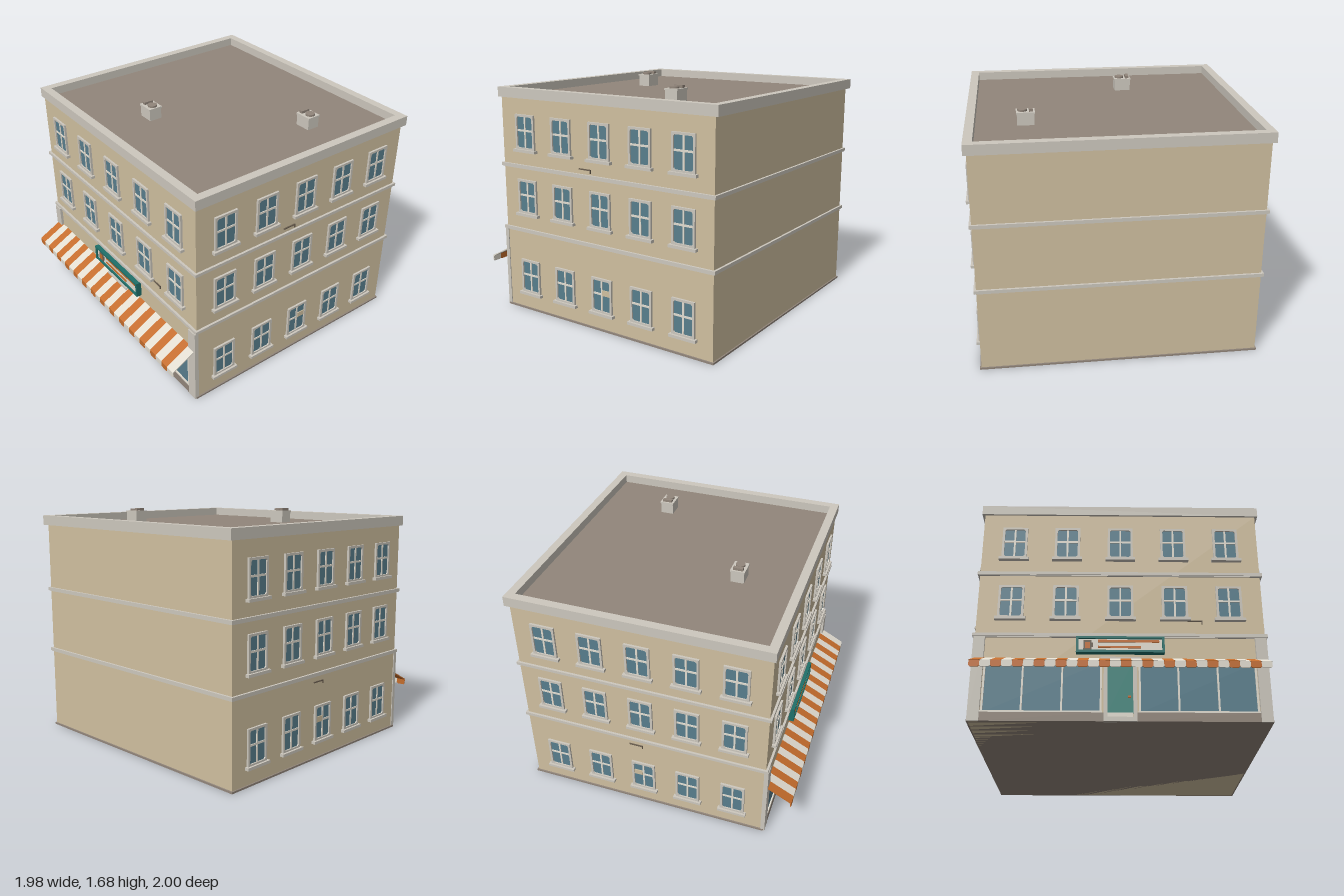
import * as THREE from 'three';

const mat = (name, color) => Object.assign(new THREE.MeshStandardMaterial({ color }), { name });
const M = {
  wall: mat('sandWall', 0xd0c0a0),
  trim: mat('stoneTrim', 0xcdc8be),
  cream: mat('creamPaint', 0xe2ddd1),
  roof: mat('roofBrown', 0x92867b),
  glass: mat('blueGlass', 0x587e8d),
  teal: mat('signTeal', 0x1f706a),
  door: mat('doorTeal', 0x3d857c),
  orange: mat('orangeCloth', 0xc56d2c),
  dark: mat('darkBrown', 0x6b5f50),
};

const FRONT = 0.81, BACK = -0.97, HALF = 0.96, MID = (FRONT + BACK) / 2;

function add(parent, name, geo, material, x = 0, y = 0, z = 0) {
  const m = new THREE.Mesh(geo, material);
  m.name = name;
  m.position.set(x, y, z);
  parent.add(m);
  return m;
}

// box given by its minimum and maximum corners
function box(parent, name, material, [x0, y0, z0], [x1, y1, z1]) {
  return add(parent, name, new THREE.BoxGeometry(x1 - x0, y1 - y0, z1 - z0), material,
    (x0 + x1) / 2, (y0 + y1) / 2, (z0 + z1) / 2);
}

// rectangle with its corners cut by c
function rect(w, h, c = 0, Type = THREE.Shape) {
  const a = w / 2, b = h / 2;
  const p = c
    ? [[-a + c, -b], [a - c, -b], [a, -b + c], [a, b - c], [a - c, b], [-a + c, b], [-a, b - c], [-a, -b + c]]
    : [[-a, -b], [a, -b], [a, b], [-a, b]];
  return new Type(p.map(([x, y]) => new THREE.Vector2(x, y)));
}

function ring(w, h, border, depth, c = 0) {
  const s = rect(w, h);
  s.holes.push(rect(w - 2 * border, h - 2 * border, c, THREE.Path));
  return new THREE.ExtrudeGeometry(s, { depth, bevelEnabled: false });
}

// sash window, facing +z, wall plane at z = 0
const frameGeo = ring(0.175, 0.25, 0.016, 0.015, 0.01);
const paneGeo = new THREE.BoxGeometry(0.15, 0.225, 0.006);
const barV = new THREE.BoxGeometry(0.013, 0.222, 0.008);
const barH = new THREE.BoxGeometry(0.145, 0.014, 0.008);
const sillGeo = new THREE.BoxGeometry(0.207, 0.02, 0.03);
function makeWindow() {
  const g = new THREE.Group();
  g.name = 'window';
  add(g, 'windowFrame', frameGeo, M.trim);
  add(g, 'windowGlass', paneGeo, M.glass, 0, 0, 0.002);
  add(g, 'verticalBar', barV, M.cream, 0, 0, 0.006);
  add(g, 'horizontalBar', barH, M.cream, 0, 0.012, 0.006);
  add(g, 'windowSill', sillGeo, M.trim, 0, -0.131, 0.015);
  return g;
}

// small bent pipe lying on a wall
function makePipe(length) {
  const g = new THREE.Group();
  g.name = 'wallPipe';
  box(g, 'pipeRun', M.dark, [-length / 2, -0.004, 0], [length / 2, 0.004, 0.008]);
  box(g, 'pipeDrop', M.dark, [length / 2 - 0.006, -0.022, 0], [length / 2, -0.004, 0.008]);
  return g;
}

function addShopfront(root) {
  const g = new THREE.Group();
  g.name = 'shopfront';
  root.add(g);
  for (const s of [-1, 1]) {
    const span = (name, m, a, b, y0, y1, z1) =>
      box(g, name, m, [Math.min(s * a, s * b), y0, FRONT - 0.01], [Math.max(s * a, s * b), y1, z1]);
    span('pilaster', M.trim, 0.89, 0.966, 0, 0.59, 0.83);
    span('stallRiser', M.roof, 0.105, 0.89, 0, 0.06, 0.827);
    span('displayGlass', M.glass, 0.12, 0.88, 0.06, 0.41, 0.815);
    span('lowerRail', M.cream, 0.115, 0.89, 0.06, 0.072, 0.825);
    span('upperRail', M.cream, 0.115, 0.89, 0.4, 0.42, 0.825);
    for (const x of [0.125, 0.375, 0.63, 0.878]) span('mullion', M.cream, x - 0.006, x + 0.006, 0.06, 0.41, 0.825);
    span('doorJamb', M.trim, 0.082, 0.107, 0, 0.43, 0.83);
  }
  box(g, 'door', M.door, [-0.082, 0.06, 0.8], [0.082, 0.41, 0.818]);
  box(g, 'doorStep', M.trim, [-0.105, 0, 0.8], [0.105, 0.028, 0.835]);
  box(g, 'kickPlate', M.cream, [-0.08, 0.028, 0.8], [0.08, 0.06, 0.822]);
  box(g, 'doorHandle', M.orange, [0.048, 0.16, 0.815], [0.068, 0.174, 0.828]);
  box(g, 'doorHood', M.trim, [-0.13, 0.42, 0.8], [0.13, 0.438, 0.845]);
}

// striped awning: sloping cloth and hanging tabs
function addAwning(root) {
  const g = new THREE.Group();
  g.name = 'awning';
  root.add(g);
  const n = 28, w = 1.9 / n, dz = 0.185, dy = 0.097;
  const clothGeo = new THREE.BoxGeometry(w, 0.008, Math.hypot(dz, dy));
  const tabGeo = new THREE.ExtrudeGeometry(rect(w, 0.045, 0.008), { depth: 0.007, bevelEnabled: false });
  for (let i = 0; i < n; i++) {
    const x = -0.95 + (i + 0.5) * w, m = i % 2 ? M.cream : M.orange;
    add(g, 'awningStripe', clothGeo, m, x, 0.34 + dy / 2, 0.998 - dz / 2).rotation.x = Math.atan2(dy, dz);
    add(g, 'awningTab', tabGeo, m, x, 0.321, 0.992);
  }
}

function addSign(root) {
  const g = new THREE.Group();
  g.name = 'signBoard';
  g.position.set(0, 0.527, FRONT);
  root.add(g);
  add(g, 'signRim', ring(0.58, 0.115, 0.016, 0.04), M.teal);
  box(g, 'signPanel', M.cream, [-0.28, -0.045, 0], [0.28, 0.045, 0.028]);
  const plate = (name, m, x0, y0, x1, y1, z = 0.034) => box(g, name, m, [x0, y0, 0.027], [x1, y1, z]);
  plate('upperBar', M.orange, -0.145, 0.017, 0.255, 0.034);
  plate('lowerBar', M.orange, -0.145, -0.024, 0.135, -0.01);
  plate('blockBorder', M.dark, -0.242, -0.036, -0.188, 0.03);
  plate('block', M.orange, -0.232, -0.028, -0.198, 0.016, 0.036);
  plate('blockSide', M.dark, -0.188, -0.018, -0.178, 0.012);
}

function addRoofUnit(root, x, z) {
  const g = new THREE.Group();
  g.name = 'roofUnit';
  g.position.set(x, 1.565, z);
  root.add(g);
  box(g, 'unitBody', M.trim, [-0.058, 0, -0.047], [0.058, 0.085, 0.047]);
  box(g, 'unitLid', M.trim, [-0.063, 0.083, -0.052], [0.063, 0.095, 0.052]);
  box(g, 'unitDuct', M.roof, [-0.05, 0.09, -0.035], [-0.024, 0.113, 0.035]);
  add(g, 'unitFan', new THREE.CylinderGeometry(0.033, 0.033, 0.016, 20), M.roof, 0.02, 0.1, 0);
}

export function createModel() {
  const root = new THREE.Group();
  root.name = 'cornerShopBuilding';

  // main block, base strip and floor bands
  box(root, 'walls', M.wall, [-HALF, 0, BACK], [HALF, 1.562, FRONT]);
  const band = (name, m, y0, y1, out) =>
    box(root, name, m, [-HALF - out, y0, BACK - out], [HALF + out, y1, FRONT + out]);
  band('baseStrip', M.roof, 0, 0.013, 0.01);
  for (const y of [0.59, 1.06]) {
    band('floorBand', M.trim, y + 0.006, y + 0.028, 0.016);
    band('floorBandLower', M.trim, y, y + 0.006, 0.01);
  }

  // roof and parapet
  box(root, 'roofDeck', M.roof, [-0.925, 1.555, -0.945], [0.925, 1.57, 0.765]);
  const parapet = add(root, 'parapet', ring(1.96, 1.825, 0.06, 0.07), M.trim, 0, 1.56, -0.0875);
  parapet.rotation.x = -Math.PI / 2;
  addRoofUnit(root, -0.184, 0.363);
  addRoofUnit(root, 0.582, -0.43);

  // windows on the front and both sides; the back is blank
  const rows = [0.258, 0.857, 1.322];
  for (let i = -2; i <= 2; i++) {
    rows.forEach((y, r) => {
      if (r > 0) {
        const w = makeWindow();
        w.position.set(i * 0.368, y, FRONT);
        root.add(w);
      }
      for (const s of [-1, 1]) {
        const w = makeWindow();
        w.position.set(s * HALF, y, MID - 0.003 + i * 0.334);
        w.rotation.y = s * Math.PI / 2;
        root.add(w);
      }
    });
  }
  // small blind in the middle ground-floor side windows
  for (const s of [-1, 1]) {
    const x = s * (HALF + 0.008);
    box(root, 'windowBlind', M.wall, [x - 0.004, 0.262, -0.152], [x + 0.004, 0.302, -0.09]);
  }

  // pipes on the walls
  for (const [x, y, z, turn] of [[0.5, 0.718, FRONT, 0], [HALF, 1.122, 0.045, 1], [-HALF, 0.55, -0.13, -1]]) {
    const p = makePipe(0.1);
    p.position.set(x, y, z);
    p.rotation.y = turn * Math.PI / 2;
    root.add(p);
  }

  addShopfront(root);
  addAwning(root);
  addSign(root);
  return root;
}
